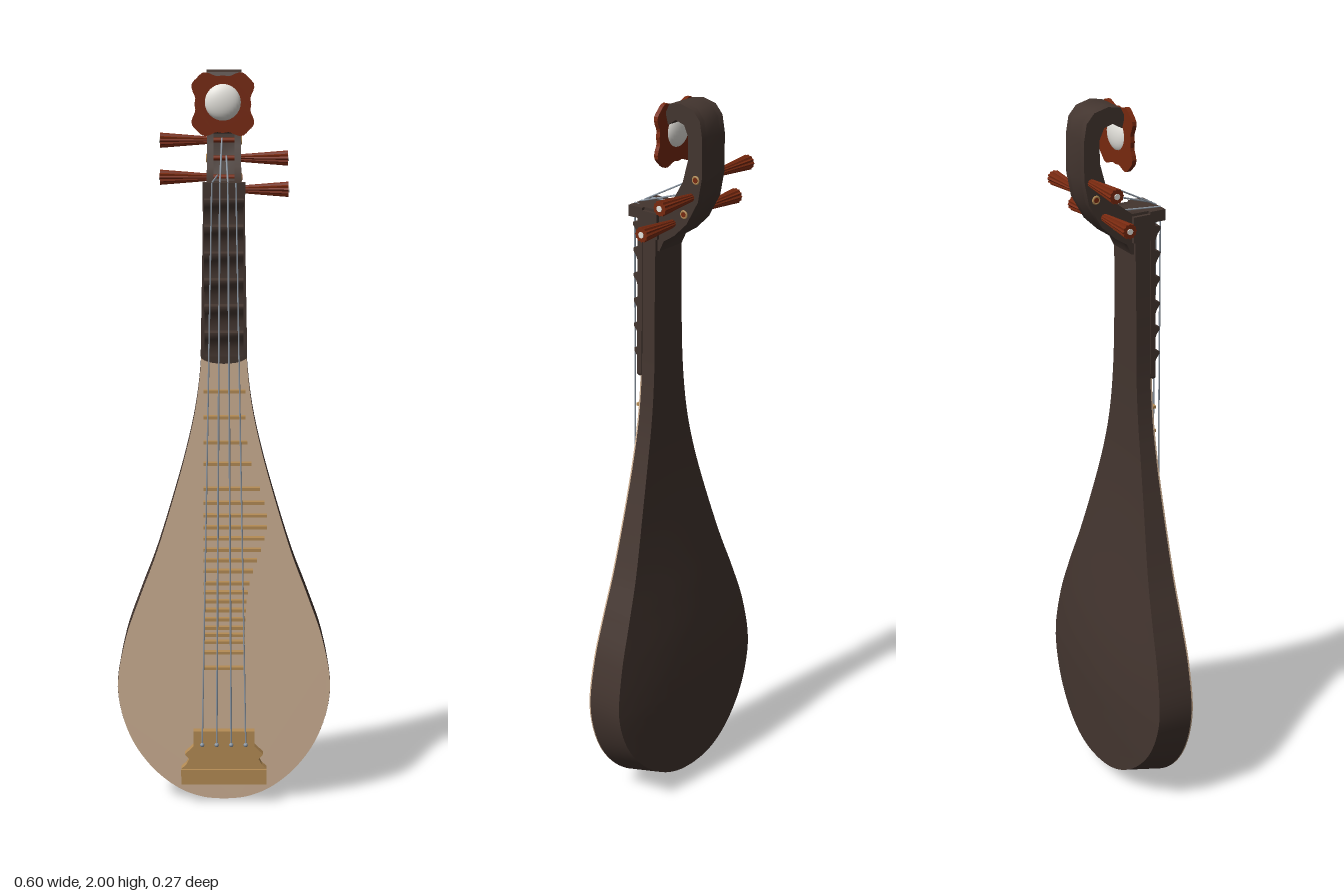
import * as THREE from 'three';
import { mergeGeometries, toCreasedNormals } from 'three/addons/utils/BufferGeometryUtils.js';
import { ParametricGeometry } from 'three/addons/geometries/ParametricGeometry.js';

const material = (name, color) => {
  const m = new THREE.MeshStandardMaterial({ color });
  m.name = name;
  return m;
};
const V2 = ([x, y]) => new THREE.Vector2(x, y);
const FRONT = 0.075; // z of the soundboard surface

export function createModel() {
  const darkWood = material('dark wood', 0x43352f);
  const boardWood = material('soundboard wood', 0xcdb094);
  const bamboo = material('bamboo', 0xb58c55);
  const redWood = material('red wood', 0x78290f);
  const ivory = material('ivory', 0xe6e4de);
  const steel = material('string', 0x8f9aa6);

  const model = new THREE.Group();
  model.name = 'lute';
  const lute = new THREE.Group();
  lute.name = 'turnedLute';
  lute.rotation.y = 0.18;
  model.add(lute);

  const add = (name, geometry, mat, x = 0, y = 0, z = 0) => {
    const mesh = new THREE.Mesh(geometry, mat);
    mesh.name = name;
    mesh.position.set(x, y, z);
    lute.add(mesh);
    return mesh;
  };
  const extrude = (points, depth) => new THREE.ExtrudeGeometry(
    new THREE.Shape(points), { depth, bevelEnabled: false, curveSegments: 16 });
  // Side profile given as (z, y), extruded symmetrically across x
  const sideExtrude = (points, width) => {
    const g = extrude(points.map(V2), width);
    g.translate(0, 0, -width / 2).rotateY(-Math.PI / 2);
    return toCreasedNormals(g, 0.7);
  };

  // Outline of body and neck: half width, height, depth of the side wall
  const outline = new THREE.CatmullRomCurve3([
    [0.002, 0.003, 0.112], [0.06, 0.009, 0.112], [0.125, 0.034, 0.112], [0.2, 0.095, 0.112],
    [0.262, 0.19, 0.112], [0.293, 0.32, 0.11], [0.272, 0.46, 0.1], [0.23, 0.585, 0.087],
    [0.187, 0.7, 0.075], [0.138, 0.86, 0.062], [0.1, 1.0, 0.054], [0.075, 1.12, 0.05],
    [0.061, 1.25, 0.048], [0.056, 1.45, 0.047], [0.054, 1.69, 0.05],
  ].map(p => new THREE.Vector3(...p)));

  // Body: four strips around each cross-section, with a gently domed back
  const corner = (t, side, back, target) => {
    const p = outline.getPoint(t);
    const x = side * p.x;
    const lift = 0.045 * Math.max(0, 1 - p.y / 0.33) * back;
    const fade = 1 - THREE.MathUtils.smoothstep(p.y, 0.35, 1.1);
    const dome = 0.026 * fade * (1 - (x / 0.295) ** 2);
    target.set(x, p.y + lift, FRONT - 0.005 - back * (p.z - 0.005 + dome));
  };
  const strips = [
    [u => [2 * u - 1, 0], 2], [u => [1, u], 3], [u => [1 - 2 * u, 1], 12], [u => [-1, 1 - u], 3],
  ].map(([f, n]) => new ParametricGeometry((u, v, target) => corner(v, ...f(u), target), n, 72));
  add('body', mergeGeometries(strips), darkWood);

  // Soundboard, cut off where the neck plates begin
  const half = outline.getPoints(90).filter(p => p.y < 1.25);
  const rim = [...half.map(p => V2([p.x - 0.001, p.y])),
    ...half.reverse().map(p => V2([-p.x + 0.001, p.y]))];
  add('soundboard', extrude(rim, 0.005), boardWood, 0, 0, FRONT - 0.005);

  // Fingerboard plate with a rounded lower end
  const plate = [];
  for (let i = 0; i <= 12; i++) {
    const a = Math.PI + Math.PI * i / 12;
    plate.push(V2([0.062 * Math.cos(a), 1.25 + 0.02 * Math.sin(a)]));
  }
  plate.push(V2([0.054, 1.69]), V2([-0.054, 1.69]));
  add('neckPlate', extrude(plate, 0.016), darkWood, 0, 0, FRONT - 0.005);

  // Six scalloped neck frets
  const teeth = [[FRONT, 1.245]];
  for (let i = 0; i < 6; i++) {
    const y = 1.25 + i * 0.07;
    teeth.push([0.088, y], [0.086, y + 0.025], [0.094, y + 0.045], [0.103, y + 0.057], [0.103, y + 0.065]);
  }
  teeth.push([FRONT, 1.67]);
  add('neckFrets', sideExtrude(teeth, 0.104), darkWood);
  add('nut', new THREE.BoxGeometry(0.112, 0.03, 0.045), darkWood, 0, 1.695, 0.092);

  // Pegbox: two cheeks and a hollowed middle, curling forward into a hook
  const curl = [[-0.075, 1.86], [-0.075, 1.92], [-0.062, 1.948], [-0.035, 1.956], [-0.01, 1.94],
    [-0.002, 1.97], [-0.015, 1.994], [-0.05, 2.0], [-0.09, 1.99], [-0.112, 1.965], [-0.12, 1.92],
    [-0.12, 1.82], [-0.107, 1.755], [-0.07, 1.69], [-0.03, 1.652], [0.005, 1.63], [0.02, 1.6]];
  const foot = [[0.07, 1.6], [0.07, 1.71], [0.02, 1.71]];
  const cheek = sideExtrude([...foot, [-0.025, 1.745], [-0.058, 1.8], ...curl], 0.018);
  for (const s of [-1, 1]) add(s > 0 ? 'leftCheek' : 'rightCheek', cheek, darkWood, s * 0.037);
  add('pegboxCore', sideExtrude([...foot, [-0.015, 1.68], [-0.06, 1.715], [-0.092, 1.77],
    [-0.1, 1.83], ...curl], 0.058), darkWood);
  add('neckHeel', new THREE.BoxGeometry(0.112, 0.07, 0.052), darkWood, 0, 1.668, 0.046);

  // Fluted tuning pegs with ivory tips
  const peg = new THREE.CylinderGeometry(0.019, 0.009, 0.135, 24, 1);
  const pp = peg.attributes.position;
  for (let i = 0; i < pp.count; i++) {
    const a = Math.atan2(pp.getX(i), pp.getZ(i));
    const k = 1 + 0.08 * Math.cos(12 * a);
    pp.setXYZ(i, pp.getX(i) * k, pp.getY(i), pp.getZ(i) * k);
  }
  const pegGeometry = toCreasedNormals(peg, 0.2);
  const pegSpots = [[-1, 1.812, -0.1], [1, 1.765, -0.086], [-1, 1.715, -0.062], [1, 1.685, -0.026]];
  for (const [s, y, z] of pegSpots) {
    add('peg', pegGeometry, redWood, s * 0.105, y, z).rotation.z = -s * Math.PI / 2;
    add('pegTip', new THREE.CylinderGeometry(0.008, 0.008, 0.004, 12), ivory, s * 0.173, y, z)
      .rotation.z = Math.PI / 2;
    add('pegShaft', new THREE.CylinderGeometry(0.007, 0.007, 0.098, 12), redWood, 0, y, z)
      .rotation.z = Math.PI / 2;
    add('pegBushing', new THREE.TorusGeometry(0.009, 0.003, 6, 16), bamboo, -s * 0.046, y, z)
      .rotation.y = Math.PI / 2;
  }

  // Scalloped head plaque with a domed ivory inlay
  const scallop = [];
  for (let i = 0; i < 64; i++) {
    const a = i / 64 * Math.PI * 2;
    const r = 0.086 - 0.014 * Math.cos(4 * a) + 0.003 * Math.cos(12 * a);
    scallop.push(V2([r * Math.cos(a), r * Math.sin(a)]));
  }
  add('headPlaque', extrude(scallop, 0.012), redWood, -0.003, 1.91, -0.004);
  add('headInlay', new THREE.SphereGeometry(0.048, 32, 16), ivory, -0.003, 1.915, 0.006)
    .scale.z = 0.45;

  // Bamboo frets on the soundboard: height and half width
  const fretHeights = [1.155, 1.085, 1.016, 0.958, 0.889, 0.85, 0.815, 0.782, 0.751, 0.72, 0.69,
    0.66, 0.626, 0.6, 0.575, 0.55, 0.524, 0.5, 0.48, 0.46, 0.43, 0.386];
  for (const y of fretHeights) {
    const w = 0.112 + 0.06 * Math.exp(-(((y - 0.8) / 0.14) ** 2));
    add('fret', new THREE.BoxGeometry(w, 0.008, 0.018), bamboo, w / 2 - 0.055, y, FRONT + 0.009);
  }

  // Stepped bridge
  const step = [[0.118, 0.058], [0.118, 0.1], [0.104, 0.112], [0.096, 0.128], [0.108, 0.142],
    [0.084, 0.165], [0.084, 0.208]];
  const bridge = [...step, ...step.map(([x, y]) => [-x, y]).reverse()].map(V2);
  add('bridge', extrude(bridge, 0.026), bamboo, 0, 0, FRONT);
  add('bridgeFoot', new THREE.BoxGeometry(0.236, 0.042, 0.036), bamboo, 0, 0.079, FRONT + 0.018);

  // Strings from bridge over the nut to the pegs
  const order = [2, 0, 1, 3];
  for (let i = 0; i < 4; i++) {
    const k = i - 1.5;
    const low = new THREE.Vector3(k * 0.04, 0.17, 0.103);
    const nut = new THREE.Vector3(k * 0.021, 1.71, 0.114);
    const [, y, z] = pegSpots[order[i]];
    const end = new THREE.Vector3(k * 0.012, y + 0.005, z + 0.006);
    for (const [a, b] of [[low, nut], [nut, end]]) {
      add('string', new THREE.TubeGeometry(new THREE.LineCurve3(a, b), 1, 0.0024, 6), steel);
    }
    add('stringKnot', new THREE.SphereGeometry(0.006, 10, 8), steel, low.x, low.y, low.z);
  }
  return model;
}
